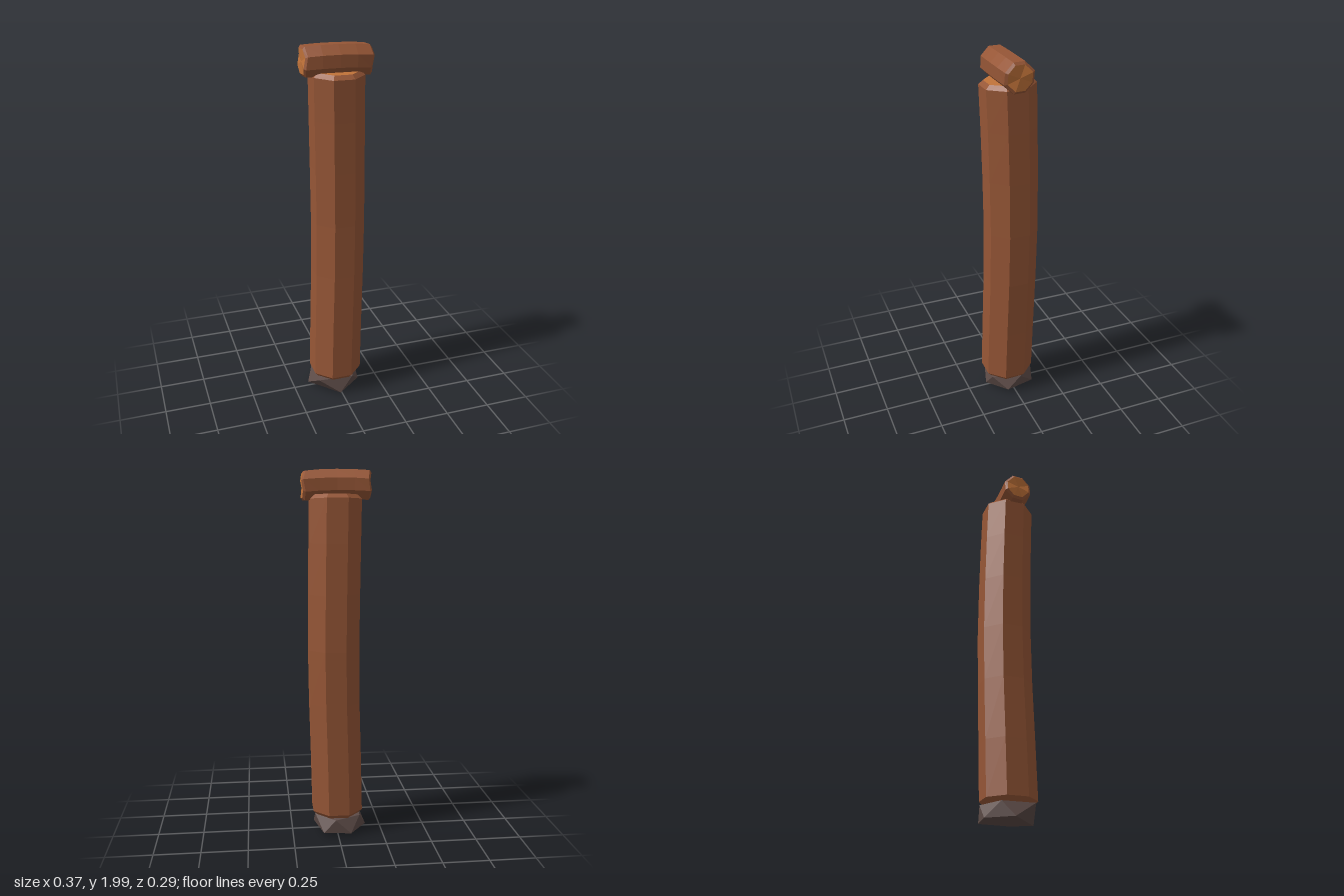
import * as THREE from 'three';
import { ConvexGeometry } from 'three/addons/geometries/ConvexGeometry.js';

const SIDES = 8;

// Skins closed rings of points; group 0 is the bark, group 1 the two cut ends.
function skinRings(rings) {
  const pos = [];
  const tri = (...pts) => pts.forEach((p) => pos.push(p.x, p.y, p.z));
  for (let i = 0; i < rings.length - 1; i++) {
    for (let j = 0; j < SIDES; j++) {
      const k = (j + 1) % SIDES;
      const a = rings[i][j], b = rings[i][k], c = rings[i + 1][k], d = rings[i + 1][j];
      tri(a, b, c);
      tri(a, c, d);
    }
  }
  const barkCount = pos.length / 3;
  const centre = (ring) => ring.reduce((s, p) => s.add(p), new THREE.Vector3()).divideScalar(SIDES);
  const first = rings[0], last = rings[rings.length - 1];
  const c0 = centre(first), c1 = centre(last);
  for (let j = 0; j < SIDES; j++) {
    const k = (j + 1) % SIDES;
    tri(c0, first[k], first[j]);
    tri(c1, last[j], last[k]);
  }
  const geo = new THREE.BufferGeometry();
  geo.setAttribute('position', new THREE.Float32BufferAttribute(pos, 3));
  geo.addGroup(0, barkCount, 0);
  geo.addGroup(barkCount, pos.length / 3 - barkCount, 1);
  geo.computeVertexNormals();
  return geo;
}

// Octagon with flats facing the main axes; place(cos, sin, j) gives each corner.
function octagon(place) {
  return Array.from({ length: SIDES }, (_, j) => {
    const a = ((j + 0.5) / SIDES) * Math.PI * 2;
    return place(Math.cos(a), Math.sin(a), j);
  });
}

export function createModel() {
  const model = new THREE.Group();
  const material = (name, color) => {
    const m = new THREE.MeshStandardMaterial({ color, flatShading: true });
    m.name = name;
    return m;
  };
  const wood = material('wood', 0x965636);
  const cutWood = material('cut wood', 0xc07239);
  const stone = material('stone', 0x5e4c48);

  const add = (name, geometry, mat) => {
    const mesh = new THREE.Mesh(geometry, mat);
    mesh.name = name;
    model.add(mesh);
  };

  // Gently bowed post with chamfered ends: y, centre x, centre z, radius, slope of the ring
  const postRings = [
    [0.10, -0.005, 0.01, 0.125, 0],
    [0.125, -0.005, 0.01, 0.148, 0],
    [0.42, 0.002, 0.004, 0.147, 0],
    [0.75, 0.012, -0.003, 0.146, 0],
    [1.05, 0.016, -0.007, 0.146, 0],
    [1.35, 0.013, -0.005, 0.146, 0],
    [1.62, 0.009, 0, 0.146, 0],
    [1.845, 0.005, 0.006, 0.146, -0.05],
    [1.866, 0.005, 0.006, 0.122, -0.06],
  ].map(([y, cx, cz, r, slope]) =>
    octagon((c, s) => new THREE.Vector3(cx + r * s, y + slope * r * c, cz + r * c)));
  add('post', skinRings(postRings), [wood, cutWood]);

  // Short crossbeam, bowed up and forward, with slightly ragged ends: x, y, z, radius, raggedness
  const beamRings = [
    [-0.178, 1.917, 0.009, 0.068, 0.006],
    [-0.168, 1.917, 0.009, 0.082, 0.006],
    [-0.09, 1.921, 0.016, 0.083, 0],
    [0, 1.922, 0.019, 0.083, 0],
    [0.09, 1.919, 0.017, 0.083, 0],
    [0.168, 1.913, 0.01, 0.082, 0.008],
    [0.18, 1.913, 0.01, 0.068, 0.006],
  ].map(([x, cy, cz, r, rag]) =>
    octagon((c, s, j) => new THREE.Vector3(x + rag * Math.sin(j * 2.4), cy + r * c, cz + r * s)));
  add('crossbeam', skinRings(beamRings), [wood, cutWood]);

  // Faceted foot stone
  const stonePoints = [
    [-0.01, 0.005, 0],
    [-0.165, 0.022, -0.01], [-0.01, 0.012, 0.14], [0.125, 0.03, 0.05],
    [0.08, 0.022, -0.12], [-0.07, 0.022, -0.138],
    [-0.13, 0.1, 0.108], [0.065, 0.102, 0.125], [0.122, 0.105, -0.03],
    [0.015, 0.1, -0.135], [-0.125, 0.1, -0.07],
    [0, 0.118, 0],
  ].map((p) => new THREE.Vector3(...p));
  add('footStone', new ConvexGeometry(stonePoints), stone);

  return model;
}
